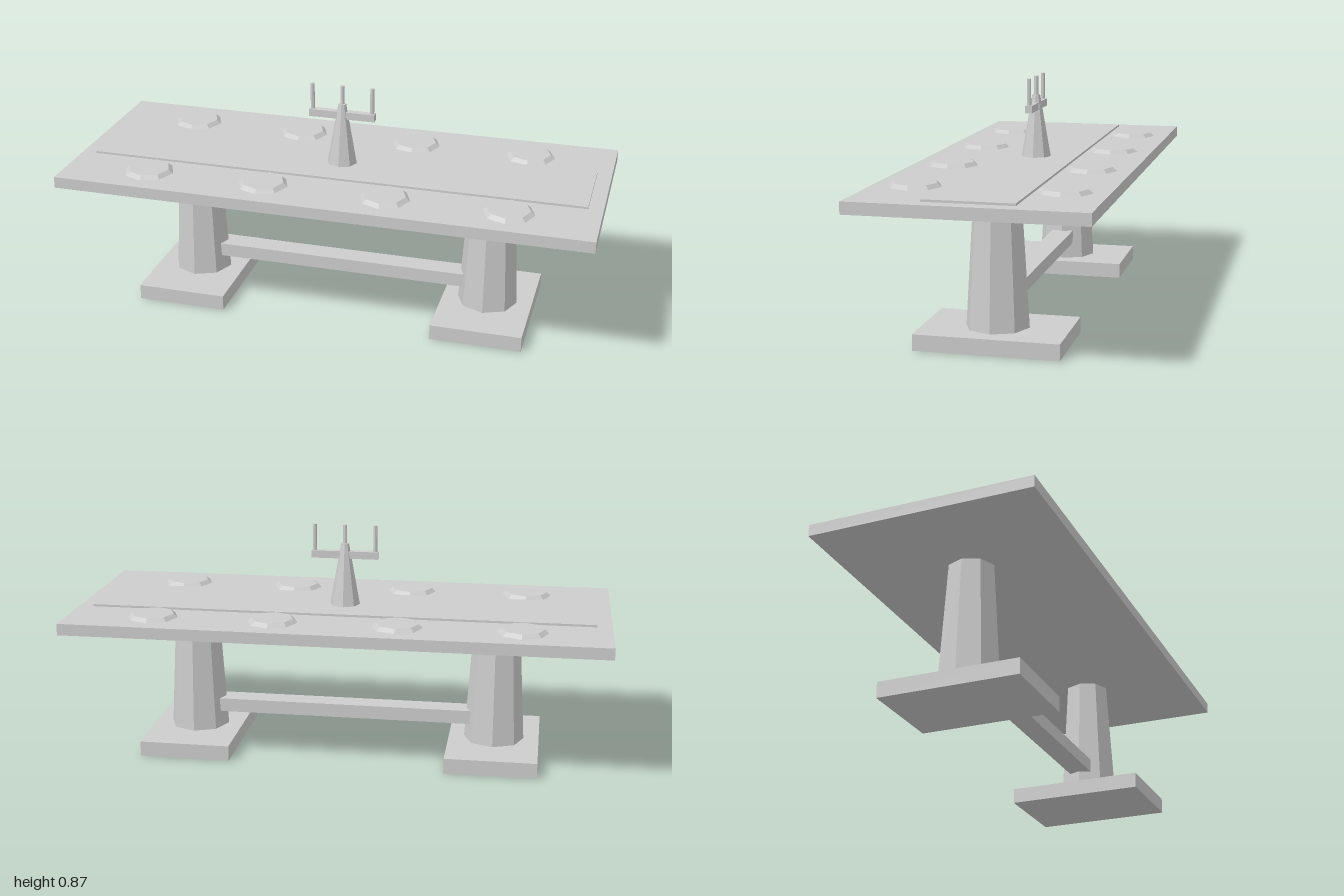
import * as THREE from 'three';

export function createModel() {
  const group = new THREE.Group();
  const stone = new THREE.MeshStandardMaterial({ color: 0xcccccc });
  stone.name = 'pale grey';
  stone.flatShading = true;

  const add = (name, geometry, x, y, z) => {
    const mesh = new THREE.Mesh(geometry, stone);
    mesh.name = name;
    mesh.position.set(x, y, z);
    group.add(mesh);
  };
  // Both helpers take the bottom and top heights of the part
  const box = (name, w, d, y0, y1, x = 0, z = 0) =>
    add(name, new THREE.BoxGeometry(w, y1 - y0, d), x, (y0 + y1) / 2, z);
  const octagon = (name, rBottom, rTop, y0, y1, x = 0, z = 0) =>
    add(name, new THREE.CylinderGeometry(rTop, rBottom, y1 - y0, 8), x, (y0 + y1) / 2, z);

  // Table top and runner
  box('tableTop', 2, 0.82, 0.516, 0.559);
  box('tableRunner', 1.89, 0.314, 0.559, 0.567);

  // Pedestal legs joined by a stretcher
  for (const side of [-1, 1]) {
    const name = side > 0 ? 'left' : 'right';
    box(name + 'Foot', 0.344, 0.516, 0, 0.058, side * 0.58);
    octagon(name + 'Pedestal', 0.114, 0.086, 0.058, 0.516, side * 0.58);
  }
  box('stretcher', 0.98, 0.086, 0.12, 0.172);

  // Four place settings along each long side
  for (const z of [-0.26, 0.26])
    for (const x of [-0.68, -0.23, 0.23, 0.68])
      octagon('plate', 0.094, 0.078, 0.559, 0.573, x, z);

  // Candelabrum
  octagon('candelabrumStem', 0.057, 0.015, 0.567, 0.802);
  box('candelabrumArm', 0.252, 0.026, 0.745, 0.773);
  for (const x of [-0.115, 0, 0.115])
    octagon('candle', 0.008, 0.008, 0.772, 0.873, x);

  return group;
}
